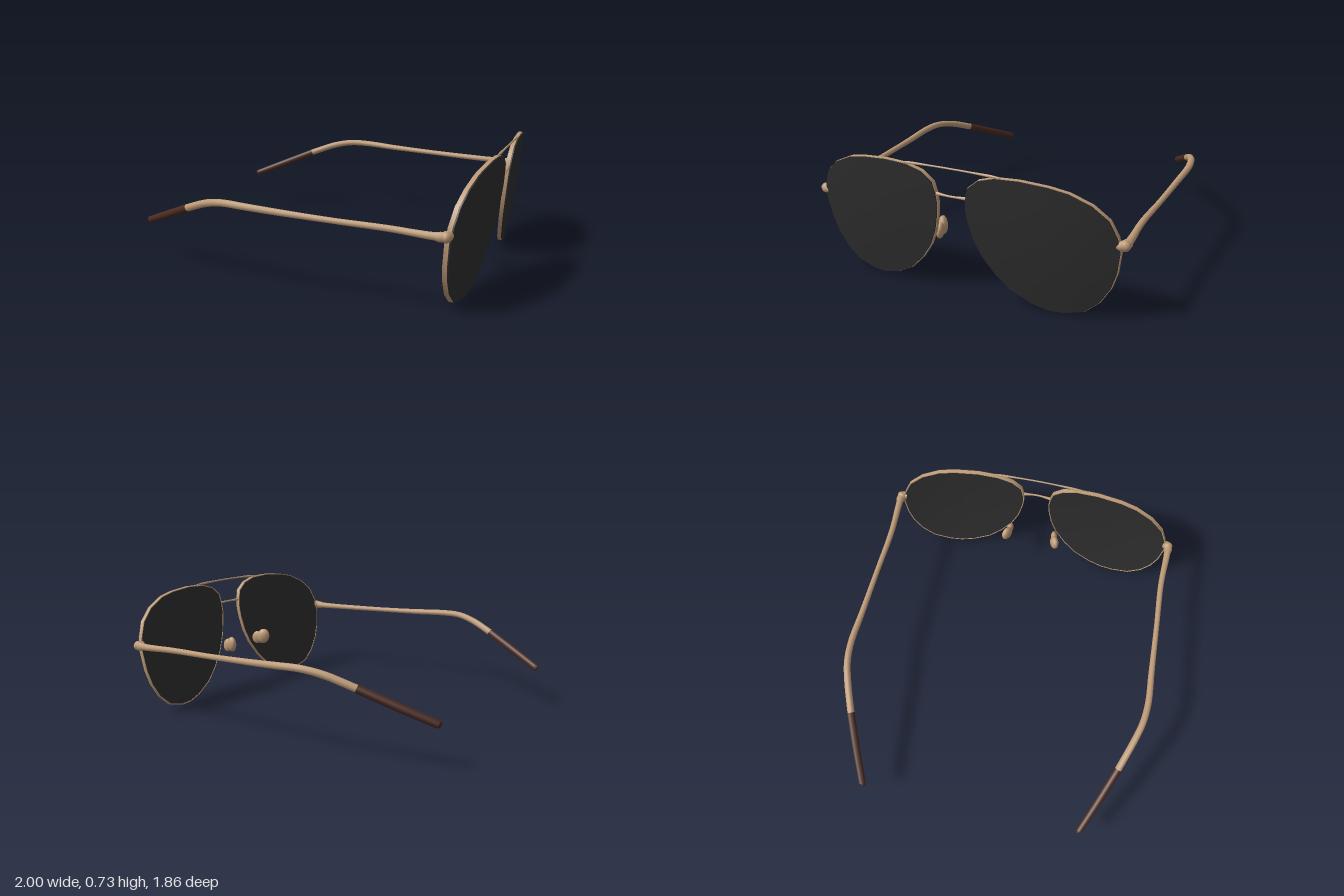
import * as THREE from 'three';
import { toCreasedNormals } from 'three/addons/utils/BufferGeometryUtils.js';

const metal = new THREE.MeshStandardMaterial({ name: 'tan metal', color: 0xbd9a76 });
const glass = new THREE.MeshStandardMaterial({ name: 'dark lens', color: 0x2e2e2e });
const tipBrown = new THREE.MeshStandardMaterial({ name: 'brown tip', color: 0x4a2b21 });

const V = (x, y, z) => new THREE.Vector3(x, y, z);

// Lens outline as [z, y], counterclockwise seen from +x
const OUTLINE = [
  [0.085, 0.58], [0.1, 0.64], [0.16, 0.69], [0.25, 0.716], [0.38, 0.722], [0.53, 0.71], [0.63, 0.69],
  [0.74, 0.64], [0.82, 0.57], [0.86, 0.48], [0.872, 0.4], [0.855, 0.28], [0.825, 0.19], [0.77, 0.1],
  [0.69, 0.03], [0.58, 0], [0.5, 0], [0.41, 0.025], [0.3, 0.085], [0.22, 0.165], [0.15, 0.265],
  [0.11, 0.36], [0.087, 0.46], [0.08, 0.52],
];

// Curved, wrapped and tilted surface on which the lenses lie
const lensX = (y, z) => 0.924 + 0.12 * y - 0.12 * z ** 3 - 0.1 * (y - 0.37) ** 2;

// Outline scaled about the lens centre and shifted along x
function ring(scale, dx) {
  return OUTLINE.map(([z0, y0]) => {
    const z = 0.48 + (z0 - 0.48) * scale, y = 0.37 + (y0 - 0.37) * scale;
    return V(lensX(y, z) + dx, y, z);
  });
}

// Skin over a series of closed rings
function loft(rings) {
  const n = rings[0].length, index = [];
  for (let j = 0; j < rings.length - 1; j++) {
    for (let i = 0; i < n; i++) {
      const a = j * n + i, b = j * n + (i + 1) % n;
      index.push(a, b, b + n, a, b + n, a + n);
    }
  }
  const geo = new THREE.BufferGeometry().setFromPoints(rings.flat());
  geo.setIndex(index);
  return toCreasedNormals(geo, 0.7);
}

// Tube whose radius follows a list of values along the path
function sweep(points, radii, segments = 24, sides = 10) {
  const curve = new THREE.CatmullRomCurve3(points);
  const geo = new THREE.TubeGeometry(curve, segments, 1, sides, false);
  const pos = geo.attributes.position, p = new THREE.Vector3();
  for (let i = 0; i <= segments; i++) {
    const c = curve.getPointAt(i / segments);
    const t = (i / segments) * (radii.length - 1), k = Math.min(Math.floor(t), radii.length - 2);
    const r = THREE.MathUtils.lerp(radii[k], radii[k + 1], t - k);
    for (let s = 0; s <= sides; s++) {
      const v = i * (sides + 1) + s;
      p.fromBufferAttribute(pos, v).sub(c).multiplyScalar(r).add(c);
      pos.setXYZ(v, p.x, p.y, p.z);
    }
  }
  return geo;
}

// Ellipsoid, turned and placed
function blob(sx, sy, sz, at, rx = 0, ry = 0, rz = 0) {
  const geo = new THREE.SphereGeometry(1, 12, 8).scale(sx, sy, sz);
  return geo.rotateX(rx).rotateY(ry).rotateZ(rz).translate(...at);
}

// Mirror across z = 0, restoring the corner order
function mirrored(source) {
  const geo = source.index ? source.toNonIndexed() : source.clone();
  geo.scale(1, 1, -1);
  for (const attr of Object.values(geo.attributes)) {
    const m = attr.itemSize, a = attr.array;
    for (let t = 0; t < attr.count; t += 3) {
      for (let c = 0; c < m; c++) {
        const i = (t + 1) * m + c, j = (t + 2) * m + c;
        [a[i], a[j]] = [a[j], a[i]];
      }
    }
  }
  return geo;
}

export function createModel() {
  const model = new THREE.Group();
  model.name = 'sunglasses';

  const add = (name, geo, mat) => {
    const mesh = new THREE.Mesh(geo, mat);
    mesh.name = name;
    model.add(mesh);
  };
  const addPair = (name, geo, mat) => {
    add(name + 'A', geo, mat);
    add(name + 'B', mirrored(geo), mat);
  };

  // Lenses: back face, edge and front face in one skin
  const steps = [0.001, 0.35, 0.7, 0.992];
  addPair('lens', loft([
    ...steps.map((s) => ring(s, -0.024)),
    ...steps.slice().reverse().map((s) => ring(s, 0.004)),
  ]), glass);

  // Thin rims around the lens edges
  addPair('rim', loft([
    ring(0.985, -0.026), ring(1, -0.026), ring(1, -0.003), ring(0.985, -0.003), ring(0.985, -0.026),
  ]), metal);

  // Brow bar with thicker soldered ends, and lower bridge
  const bar = [-0.34, -0.24, -0.1, 0, 0.1, 0.24, 0.34].map((z) => V(0.991 - 0.06 * z * z, 0.726 - 0.08 * z * z, z));
  add('browBar', sweep(bar, [0, 0.008, 0.005, 0.005, 0.005, 0.008, 0], 28, 8), metal);
  add('bridge', sweep([V(0.977, 0.575, -0.088), V(0.985, 0.575, 0), V(0.977, 0.575, 0.088)], [0.01, 0.006, 0.006, 0.01], 10, 8), metal);

  // End pieces wrapping from the rims into the temples
  addPair('endPiece', sweep([V(0.885, 0.438, 0.85), V(0.884, 0.438, 0.878), V(0.86, 0.437, 0.888), V(0.815, 0.437, 0.888)],
    [0.022, 0.026, 0.026, 0.018], 12, 10), metal);
  addPair('hingeKnob', blob(0.028, 0.029, 0.031, [0.878, 0.438, 0.884]), metal);

  // Temples, bending down and inwards behind the ear
  addPair('temple', sweep([
    V(0.88, 0.437, 0.888), V(0.8, 0.437, 0.888), V(0.6, 0.444, 0.88), V(0.3, 0.453, 0.893), V(0, 0.465, 0.904),
    V(-0.2, 0.476, 0.912), V(-0.33, 0.477, 0.898), V(-0.45, 0.455, 0.864), V(-0.62, 0.394, 0.806),
  ], [0.022, 0.018, 0.017, 0.016, 0.017, 0.019, 0.02, 0.021, 0.021], 40), metal);

  // Blunt temple tips with rounded ends
  addPair('templeTip', sweep([V(-0.61, 0.398, 0.81), V(-0.8, 0.319, 0.736), V(-0.984, 0.243, 0.66)],
    [0.023, 0.023, 0.021], 12), tipBrown);
  addPair('tipEnd', blob(0.011, 0.021, 0.021, [-0.984, 0.243, 0.66], 0, 0.38, 0.38), tipBrown);

  // Nose pads with their mounts
  addPair('nosePad', blob(0.044, 0.052, 0.026, [0.814, 0.32, 0.16], 0.2, 0.4, 0.35), metal);
  addPair('padMount', blob(0.038, 0.045, 0.021, [0.86, 0.308, 0.15], 0, 0.2, 0.3), metal);

  return model;
}
